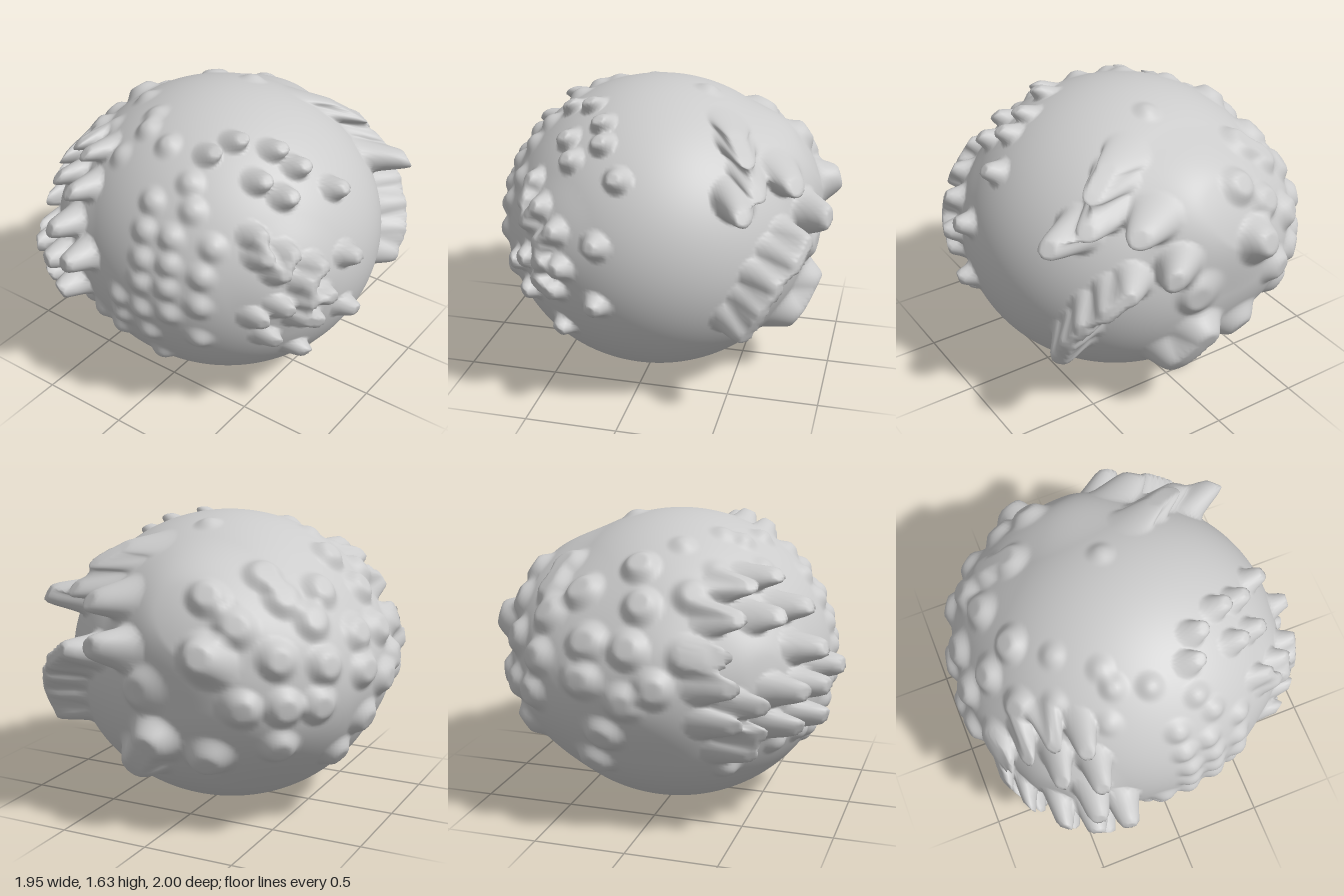
import * as THREE from 'three';
import { mergeVertices } from 'three/addons/utils/BufferGeometryUtils.js';

const RADII = new THREE.Vector3(0.9, 0.815, 0.87);
const V = (x, y, z) => new THREE.Vector3(x, y, z);

// Point where a line along `dir` through `p` leaves the ellipsoid on the `dir` side
function project(p, dir) {
  const o = p.clone().divide(RADII), d = dir.clone().divide(RADII);
  const a = d.dot(d), b = o.dot(d), c = o.dot(o) - 1;
  const t = (-b + Math.sqrt(Math.max(0, b * b - a * c))) / a;
  return o.addScaledVector(d, t).normalize().multiply(RADII);
}
const onSurface = (p) => p.clone().divide(RADII).normalize().multiply(RADII);
const normalAt = (p) => p.clone().divide(RADII).divide(RADII).normalize();

// Broad swellings under the bumps: x, y, z, height, reach
function makeSwells() {
  return [[-.65, .85, -.65, .09, .72], [-.9, .85, .1, .03, .45], [-.6, .9, .6, .05, .42],
    [-.1, 1.2, -.75, .07, .5], [.75, .95, .45, .02, .35]].map(([x, y, z, height, reach]) => {
    const base = onSurface(V(x, y - .815, z));
    return { base, pull: normalAt(base).multiplyScalar(height), reach, flat: .25 };
  });
}

// Every bump: centre on the body, pull vector, reach, and how flat its top is
function makeBumps() {
  const bumps = [];
  const add = (base, pull, reach, flat) => bumps.push({ base, pull, reach, flat });

  // Forward-pulled blocks on the right of the face [x, y]
  [[-.42, 1.37], [-.56, 1.34], [-.4, 1.22], [-.57, 1.2], [-.7, 1.2], [-.44, 1.02], [-.31, .9],
    [-.6, .83], [-.75, .78], [-.42, .65], [-.58, .63], [-.8, 1.03], [-.82, .88], [-.8, .68],
    [-.7, .5], [-.46, .83], [-.72, .62]].forEach(([x, y]) => {
    const b = project(V(x, y - .815, 0), V(0, 0, 1));
    add(b, normalAt(b).multiplyScalar(.02).add(V(-.01, .01, .155)), .1, .4);
  });

  // Outward thorns on the left front [z, y]
  [[.3, 1.54], [.43, 1.5], [.2, 1.5], [.17, 1.43], [.38, 1.41], [.33, 1.34], [.05, 1.3],
    [.54, 1.2], [.56, 1.11], [.46, 1.11], [.35, 1.02], [.52, 1.03], [.13, .99], [.42, .95],
    [.42, .85], [.32, .84], [.53, .83], [.62, .77], [.44, .74], [.37, .7], [.13, .66],
    [.55, .62], [.35, .45]].forEach(([z, y]) => {
    const b = project(V(0, y - .815, z), V(1, 0, 0));
    add(b, normalAt(b).multiplyScalar(.035).add(V(.06, .015, 0)), .08, .4);
  });

  // Low rounded bumps over the middle of the face [x, y]
  [[-.02, 1.5], [-.2, 1.51], [.2, 1.4], [.05, 1.3], [.27, 1.3], [.06, 1.17], [.21, 1.17],
    [.42, 1.15], [.08, 1.03], [.23, 1.04], [.4, 1], [.08, .9], [.23, .91], [.4, .83],
    [-.07, .75], [.08, .73], [.24, .75], [-.07, .62], [.1, .57], [.38, .6],
    [-.13, .48], [.1, .36], [-.28, .51], [-.45, .49], [-.6, .37]].forEach(([x, y]) => {
    const b = project(V(x, y - .815, 0), V(0, 0, 1));
    add(b, normalAt(b).multiplyScalar(.035), .09, .15);
  });

  // Low bumps on the crown [x, z]
  [[-.43, .14], [-.23, .31], [-.28, .55], [-.5, .35], [0, -.27]].forEach(([x, z]) => {
    const b = project(V(x, 0, z), V(0, 1, 0));
    add(b, normalAt(b).multiplyScalar(.025), .09, .1);
  });

  // Broad knobs on the right rear, laid out across a diagonal plane [across, up]
  const across = V(-1, 0, 1).normalize(), rear = V(-.61, .5, -.61), up = V(.354, .866, .354);
  [[-.04, .16], [-.33, .06], [.02, .03], [.25, .07], [-.24, -.1], [.15, -.09], [.43, -.15],
    [-.07, -.27], [.19, -.31], [.45, -.33], [-.04, -.49], [.15, -.49],
    [-.04, -.66], [.36, -.7], [-.25, -.47], [.6, -.1], [.62, -.35], [.72, -.22], [.55, .12],
    [.78, 0], [.66, .28], [.4, .3], [.5, -.55]].forEach(([u, v]) => {
    const p = across.clone().multiplyScalar(u).addScaledVector(up, v);
    const b = project(p, rear);
    add(b, normalAt(b).multiplyScalar(.05), .12, .4);
  });

  // Crest, swept plates and rear lobes: tip position, sweep, reach
  [[.79, .53, -.64, .12, -.03, -.08, .12], [.79, .67, -.72, .15, 0, -.1, .11],
    [.74, .79, -.79, .13, 0, -.12, .11], [.65, .89, -.87, .13, 0, -.14, .11],
    [.54, .97, -.91, .12, .02, -.14, .11], [.32, 1.02, -.97, .12, .02, -.1, .13],
    [.82, 1.2, -.61, .2, -.02, -.05, .13], [.62, 1.25, -.65, .17, -.05, -.07, .13],
    [.53, 1.39, -.57, .17, -.06, -.06, .13], [.4, 1.47, -.5, .15, -.05, -.05, .13],
    [.42, 1.22, -.8, .15, -.03, -.08, .14], [-.27, 1.02, -.92, .02, .02, -.05, .15],
    [.16, .35, -.84, 0, -.01, -.05, .17], [.04, .5, -.92, 0, 0, -.05, .17],
    [.1, .8, -.91, .03, 0, -.05, .15],
    [-.25, .42, -.81, 0, -.02, -.04, .15]].forEach(([x, y, z, a, b, c, reach]) => {
    const tip = V(x, y - .815, z);
    const root = onSurface(tip.clone().sub(V(a, b, c)));
    add(root, tip.sub(root), reach, .35);
  });
  return bumps;
}

// Adds the drag of a set of bumps at p to `move`; overlapping drags blend instead of stacking
function drag(p, bumps, move) {
  const sum = V(0, 0, 0);
  let total = 0;
  for (const { base, pull, reach, flat } of bumps) {
    const d = p.distanceTo(base) / reach;
    if (d >= 1) continue;
    const w = 1 - THREE.MathUtils.smoothstep(d, flat, 1);
    total += w;
    sum.addScaledVector(pull, w);
  }
  move.addScaledVector(sum, 1 / Math.max(1, total));
}

export function createModel() {
  const group = new THREE.Group();
  group.name = 'sculptedBall';

  let geo = new THREE.SphereGeometry(1, 256, 168);
  geo.deleteAttribute('uv');
  geo.deleteAttribute('normal');
  geo = mergeVertices(geo, 1e-5);
  geo.scale(RADII.x, RADII.y, RADII.z);

  const swells = makeSwells(), bumps = makeBumps();
  const pos = geo.attributes.position;
  const p = V(0, 0, 0), move = V(0, 0, 0);
  for (let i = 0; i < pos.count; i++) {
    p.fromBufferAttribute(pos, i);
    move.set(0, 0, 0);
    drag(p, swells, move);
    drag(p, bumps, move);
    p.add(move);
    pos.setXYZ(i, p.x, p.y + RADII.y, p.z);
  }
  geo.computeVertexNormals();

  const body = new THREE.Mesh(geo, new THREE.MeshStandardMaterial({ color: 0xcccccc, side: THREE.DoubleSide }));
  body.name = 'bumpyBody';
  group.add(body);
  return group;
}
